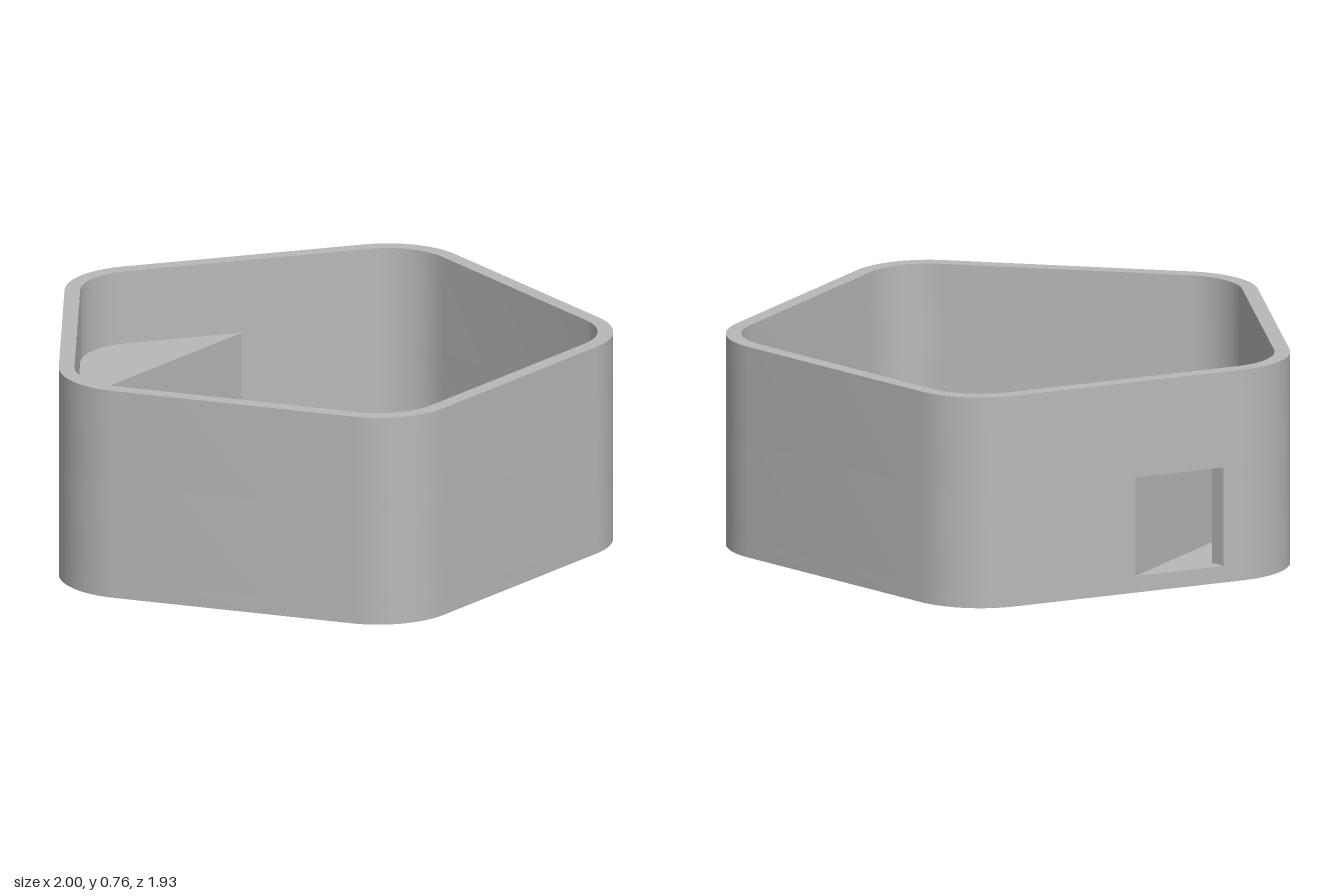
import * as THREE from 'three';
import { toCreasedNormals } from 'three/addons/utils/BufferGeometryUtils.js';

// Plan coordinates: X = model x, Y = model -z (back is +Y).
const R = 0.75, CY = -0.072;          // corner circle layout of the pentagon
const OUT = 0.287, IN = 0.232;        // outer and inner corner radii
const FLOOR = 0.06, SILL = 0.415, SHELF = 0.495, TOP = 0.76;
const SHELF_Y = 0.62, BACK_Y = 0.665; // front and back of the partition
const rad = THREE.MathUtils.degToRad;

// Points of one rounded corner; corner 0 is at the back, counted anticlockwise
function corner(i, r, n = 16) {
  const a = rad(90 + 72 * i), pts = [];
  for (let k = 0; k <= n; k++) {
    const t = a + rad(-36 + 72 * k / n);
    pts.push(new THREE.Vector2(R * Math.cos(a) + r * Math.cos(t), CY + R * Math.sin(a) + r * Math.sin(t)));
  }
  return pts;
}

const outline = (r) => [0, 1, 2, 3, 4].flatMap((i) => corner(i, r));

// Point on a rear side wall at depth y; side is +1 or -1
function edge(r, y, side) {
  const x = r * Math.sin(rad(36)) + (CY + R + r * Math.cos(rad(36)) - y) / Math.tan(rad(36));
  return new THREE.Vector2(side * x, y);
}

// Outline parts in front of and behind a cut at depth y
const frontPart = (r, y) => [edge(r, y, -1), ...[1, 2, 3, 4].flatMap((i) => corner(i, r)), edge(r, y, 1)];
const backPart = (r, y) => [edge(r, y, 1), ...corner(0, r), edge(r, y, -1)];

export function createModel() {
  const group = new THREE.Group();
  const grey = new THREE.MeshStandardMaterial({ color: 0xb8b8b8 });
  grey.name = 'grey';

  function add(name, geometry) {
    const mesh = new THREE.Mesh(toCreasedNormals(geometry, 0.4), grey);
    mesh.name = name;
    group.add(mesh);
  }

  // Upright prism from a plan shape between two heights
  function prism(name, shape, y0, y1) {
    const s = Array.isArray(shape) ? new THREE.Shape(shape) : shape;
    const g = new THREE.ExtrudeGeometry(s, { depth: y1 - y0, bevelEnabled: false, curveSegments: 40 });
    g.rotateX(-Math.PI / 2);
    g.translate(0, y0, 0);
    add(name, g);
  }

  // Base slab and upper wall ring
  prism('floor', outline(OUT), 0, FLOOR);
  const ring = new THREE.Shape(outline(OUT));
  ring.holes.push(new THREE.Path(outline(IN).reverse()));
  prism('upperWall', ring, SILL, TOP);

  // Lower wall, interrupted by the two rear side windows
  prism('lowerWallFront', [...frontPart(OUT, BACK_Y), ...frontPart(IN, BACK_Y).reverse()], FLOOR, SILL);
  prism('lowerWallBack', [...backPart(OUT, 0.865), ...backPart(IN, 0.81).reverse()], FLOOR, SILL);

  // Rear compartment: partition and shelf
  prism('partition', [edge(IN, SHELF_Y, -1), edge(IN, SHELF_Y, 1), edge(IN, BACK_Y, 1), edge(IN, BACK_Y, -1)], FLOOR, SILL);
  prism('shelf', backPart(IN, SHELF_Y), SILL, SHELF);

  // Sloped strip where the walls meet the floor
  const c = 0.022;
  const high = frontPart(IN, SHELF_Y), low = frontPart(IN - c, SHELF_Y - c);
  const pos = [], index = [], n = high.length;
  for (let i = 0; i < n; i++) {
    pos.push(high[i].x, FLOOR + c, -high[i].y, low[i].x, FLOOR, -low[i].y);
    const a = 2 * i, b = 2 * ((i + 1) % n);
    index.push(a, b, b + 1, a, b + 1, a + 1);
  }
  const strip = new THREE.BufferGeometry();
  strip.setAttribute('position', new THREE.Float32BufferAttribute(pos, 3));
  strip.setIndex(index);
  add('floorChamfer', strip);

  // Raised face: two round posts and a half ring
  const h = 0.16;
  for (const side of [-1, 1]) {
    const post = new THREE.CylinderGeometry(0.035, 0.035, h, 32);
    post.translate(side * 0.247, FLOOR + h / 2, -0.18);
    add(side > 0 ? 'leftEyePost' : 'rightEyePost', post);
  }
  const smile = new THREE.Shape();
  smile.absarc(0, -0.068, 0.42, Math.PI, 2 * Math.PI, false);
  smile.absarc(0, -0.068, 0.366, 2 * Math.PI, Math.PI, true);
  prism('smile', smile, FLOOR, FLOOR + h);

  return group;
}
